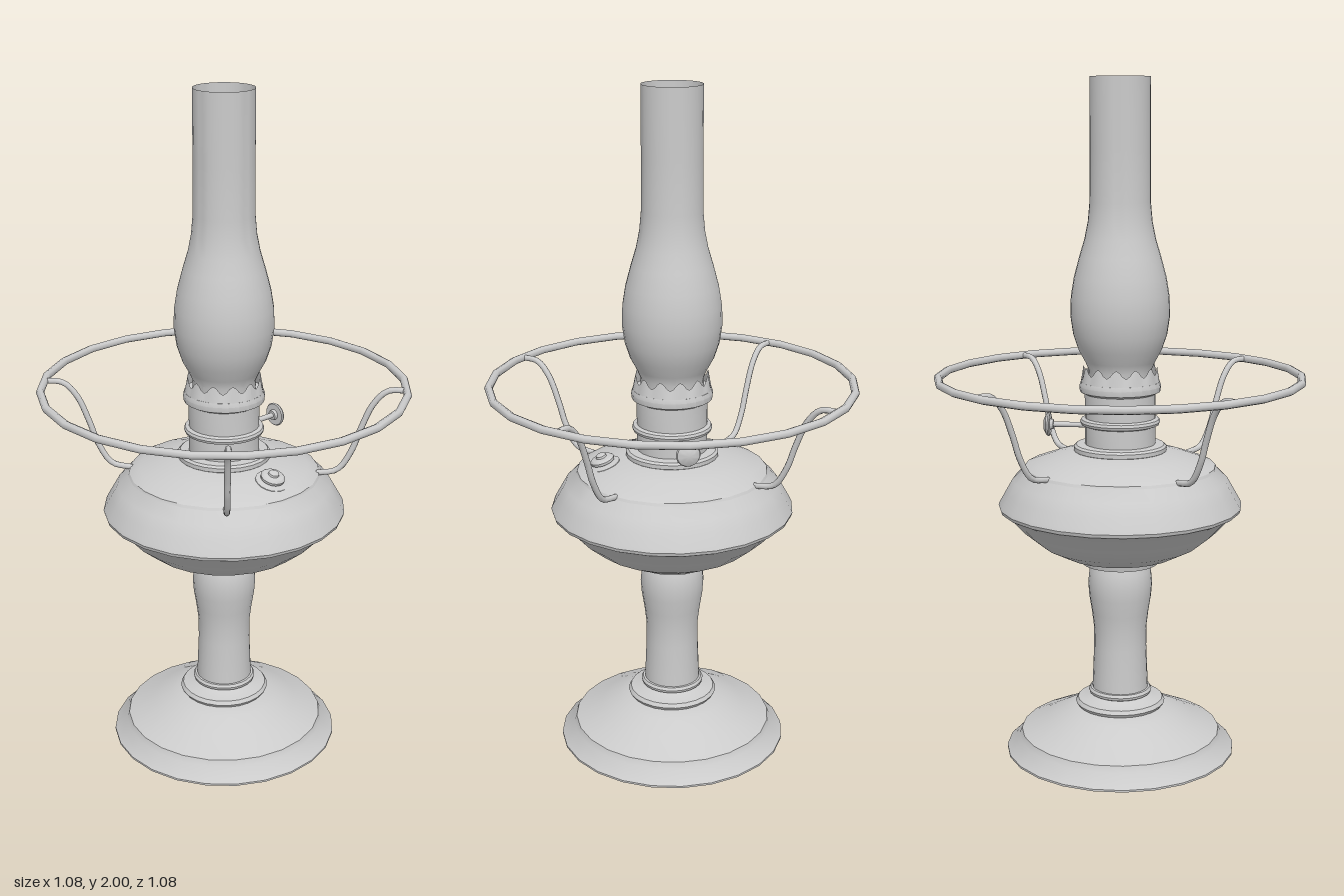
import * as THREE from 'three';
import { toCreasedNormals } from 'three/addons/utils/BufferGeometryUtils.js';

const SIDES = 24;
const metal = new THREE.MeshStandardMaterial({ color: 0xcccccc });
const thin = new THREE.MeshStandardMaterial({ color: 0xcccccc, side: THREE.DoubleSide });

export function createModel() {
  const lamp = new THREE.Group();
  lamp.name = 'oilLamp';

  function add(name, geometry, material = metal, parent = lamp) {
    const mesh = new THREE.Mesh(geometry, material);
    mesh.name = name;
    parent.add(mesh);
    return mesh;
  }
  // Turned part from [radius, height] pairs, bottom to top, with sharp steps kept
  function turned(points, sides = SIDES) {
    const profile = points.map(([r, y]) => new THREE.Vector2(r, y));
    const geo = new THREE.LatheGeometry(profile, sides);
    geo.rotateY(Math.PI / sides);
    return toCreasedNormals(geo, 0.5);
  }

  // Foot and stem
  add('foot', turned([
    [0, 0], [0.345, 0], [0.345, 0.006], [0.307, 0.042], [0.3, 0.06], [0.285, 0.066],
    [0.22, 0.097], [0.165, 0.125], [0.125, 0.138], [0, 0.138],
  ]));
  add('footRings', turned([
    [0.115, 0.132], [0.128, 0.136], [0.135, 0.147], [0.128, 0.158], [0.1, 0.164], [0.085, 0.172],
    [0.093, 0.176], [0.095, 0.184], [0.09, 0.192], [0.07, 0.194],
  ]));
  add('stem', turned([
    [0.085, 0.17], [0.083, 0.22], [0.079, 0.32], [0.079, 0.38], [0.085, 0.43], [0.093, 0.48],
    [0.096, 0.52], [0.092, 0.56], [0.082, 0.59],
  ]));

  // Oil reservoir
  add('reservoir', turned([
    [0, 0.592], [0.095, 0.592], [0.098, 0.583], [0.115, 0.583], [0.118, 0.597], [0.17, 0.612],
    [0.235, 0.645], [0.29, 0.69], [0.335, 0.74], [0.358, 0.752], [0.361, 0.762], [0.356, 0.773],
    [0.338, 0.805], [0.318, 0.84], [0.285, 0.872], [0.282, 0.88], [0.25, 0.892],
    [0.2, 0.91], [0.14, 0.925], [0, 0.925],
  ]));

  // Burner with collar, beads and gallery
  add('burner', turned([
    [0.13, 0.92], [0.137, 0.926], [0.137, 0.938], [0.13, 0.944], [0.104, 0.946], [0.104, 1.0],
    [0.115, 1.004], [0.118, 1.012], [0.115, 1.02], [0.104, 1.024], [0.104, 1.095], [0.118, 1.102],
    [0.12, 1.118], [0.116, 1.13], [0.06, 1.13], [0.06, 1.15], [0.035, 1.15], [0.035, 1.17], [0, 1.17],
  ]));

  // Scalloped crown that holds the chimney
  const crown = new THREE.CylinderGeometry(0.108, 0.116, 0.04, 72, 1, true);
  const p = crown.attributes.position;
  for (let i = 0; i < p.count; i++) {
    const wave = 0.012 * Math.cos(12 * Math.atan2(p.getZ(i), p.getX(i)));
    if (p.getY(i) > 0) p.setY(i, p.getY(i) + wave);
  }
  crown.computeVertexNormals();
  add('crown', crown, thin).position.y = 1.145;

  // Open glass chimney
  add('chimney', turned([
    [0.093, 1.13], [0.092, 1.165], [0.103, 1.19], [0.122, 1.225], [0.137, 1.27], [0.145, 1.325],
    [0.143, 1.38], [0.134, 1.435], [0.118, 1.495], [0.103, 1.545], [0.093, 1.595], [0.088, 1.65],
    [0.087, 1.8], [0.087, 2],
  ], 32), thin);

  // Shade ring on four curved arms
  const ring = new THREE.TorusGeometry(0.532, 0.012, 8, SIDES);
  ring.rotateZ(Math.PI / SIDES).rotateX(Math.PI / 2);
  add('shadeRing', ring).position.y = 1.143;

  const bend = [[0.53, 1.143], [0.475, 1.14], [0.435, 1.1], [0.4, 1.02], [0.375, 0.95], [0.335, 0.89], [0.275, 0.877]];
  for (const sx of [-1, 1]) {
    for (const sz of [-1, 1]) {
      const path = new THREE.CatmullRomCurve3(
        bend.map(([r, y]) => new THREE.Vector3(sx * r * 0.67, y, sz * r * 0.742)));
      add('shadeArm', new THREE.TubeGeometry(path, 24, 0.009, 8, false), thin);
    }
  }

  // Wick knob on the left side
  const knob = new THREE.Group();
  knob.name = 'wickKnob';
  knob.position.y = 0.998;
  knob.rotation.z = -Math.PI / 2;
  lamp.add(knob);
  add('knobShaft', new THREE.CylinderGeometry(0.008, 0.008, 0.14, 12), metal, knob).position.y = 0.15;
  add('knobDisc', turned([
    [0, 0.198], [0.014, 0.198], [0.016, 0.208], [0.033, 0.208], [0.036, 0.212], [0.033, 0.218],
    [0.018, 0.226], [0, 0.228],
  ], 16), metal, knob);

  // Filler cap on the sloping front shoulder
  const cap = new THREE.Group();
  cap.name = 'fillerCap';
  cap.position.set(-0.005, 0.9, 0.202);
  cap.rotation.x = 0.32;
  lamp.add(cap);
  add('fillerCollar', turned([[0.05, -0.01], [0.048, 0.008], [0.026, 0.012]], 20), metal, cap);
  add('fillerLid', turned([
    [0.026, 0.005], [0.026, 0.014], [0.035, 0.016], [0.036, 0.024], [0.03, 0.029], [0.016, 0.031],
    [0.015, 0.037], [0.009, 0.041], [0, 0.042],
  ], 20), metal, cap);

  return lamp;
}
